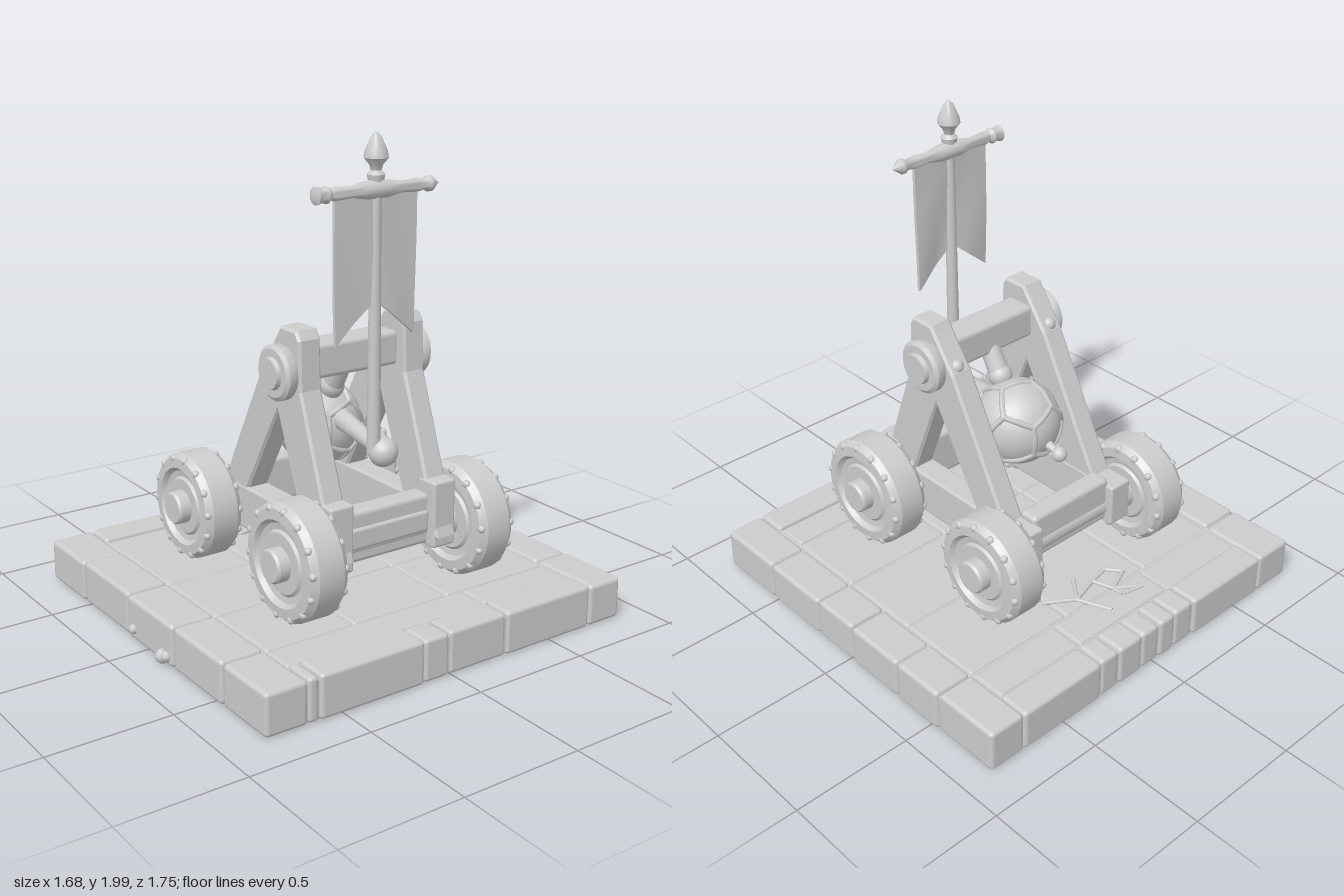
import * as THREE from 'three';
import { toCreasedNormals } from 'three/addons/utils/BufferGeometryUtils.js';
import { RoundedBoxGeometry } from 'three/addons/geometries/RoundedBoxGeometry.js';

export function createModel() {
  const root = new THREE.Group();
  root.name = 'siegeEngine';
  const grey = new THREE.MeshStandardMaterial({ color: 0xcccccc });
  grey.name = 'plainGrey';
  const V = (x, y, z) => new THREE.Vector3(x, y, z);

  const add = (name, geo, x = 0, y = 0, z = 0, parent = root) => {
    const m = new THREE.Mesh(geo, grey);
    m.name = name;
    m.position.set(x, y, z);
    parent.add(m);
    return m;
  };
  // rounded box given by its limits
  const block = (name, x0, x1, y0, y1, z0, z1, r = 0.012) => add(name,
    new RoundedBoxGeometry(x1 - x0, y1 - y0, z1 - z0, 2, r),
    (x0 + x1) / 2, (y0 + y1) / 2, (z0 + z1) / 2);
  // turned part from [radius, height] pairs
  const turned = (pts, seg = 32, crease = 0.6) => toCreasedNormals(
    new THREE.LatheGeometry(pts.map(p => new THREE.Vector2(...p)), seg), crease);
  // tapered rod between two points
  const rod = (name, a, b, ra, rb, parent = root) => {
    const m = add(name, new THREE.CylinderGeometry(rb, ra, a.distanceTo(b), 12), 0, 0, 0, parent);
    m.position.copy(a).lerp(b, 0.5);
    m.quaternion.setFromUnitVectors(V(0, 1, 0), b.clone().sub(a).normalize());
    return m;
  };
  let seed = 7;
  const rnd = () => (seed = (seed * 16807) % 2147483647) / 2147483647;

  // stone base: core, paving and border stones
  block('baseCore', -0.825, 0.825, 0.012, 0.17, -0.865, 0.815, 0.01);
  const runs = (cuts, fn) => cuts.slice(1).forEach((c, i) => fn(cuts[i] + 0.003, c - 0.003));
  const edge = () => rnd() * 0.008;
  runs([-0.84, -0.54, -0.3, -0.02, 0.2, 0.52, 0.84], (a, b) =>
    block('backStone', a, b, 0.01, 0.19 - edge(), -0.88 + edge(), -0.71, 0.018));
  runs([-0.84, -0.54, -0.16, 0.2, 0.55, 0.84], (a, b) =>
    block('frontStone', a, b, 0.01, 0.19 - edge(), 0.65, 0.835 - edge(), 0.018));
  runs([-0.71, -0.3, -0.2, -0.07, 0.03, 0.12, 0.23, 0.65], (a, b) =>
    block('rightSideStone', -0.84 + edge(), -0.7, 0.01, 0.19 - edge(), a, b, 0.018));
  runs([-0.71, -0.27, 0.01, 0.13, 0.6, 0.65], (a, b) =>
    block('leftSideStone', 0.7, 0.84 - edge(), 0.01, 0.19 - edge(), a, b, 0.016));
  runs([-0.7, -0.28, 0.22, 0.65], (a, b) =>
    block('rightPaving', -0.695, -0.545, 0.1, 0.18 - edge(), a, b));
  runs([-0.7, -0.27, 0.65], (a, b) =>
    block('leftPaving', 0.56, 0.695, 0.1, 0.18 - edge(), a, b));
  runs([-0.54, -0.16, 0.2, 0.555], (a, b) =>
    runs([-0.705, -0.2, 0.25, 0.645], (c, d) =>
      block('centrePaving', a, b, 0.1, 0.179 - edge() * 0.4, c, d)));

  // raised cracks on the paving
  const cracks = [
    [[-0.62, 0.16], [-0.55, 0.06], [-0.46, 0.03], [-0.5, -0.1], [-0.42, -0.22]],
    [[-0.64, -0.04], [-0.55, -0.08], [-0.5, -0.1], [-0.4, -0.02]],
    [[-0.55, 0.06], [-0.5, 0.17], [-0.44, 0.12], [-0.46, 0.03]],
    [[-0.62, 0.16], [-0.6, 0.06], [-0.55, 0.06]],
  ];
  cracks.forEach(c => c.slice(1).forEach((p, i) =>
    rod('crack', V(c[i][0], 0.18, c[i][1]), V(p[0], 0.18, p[1]), 0.009, 0.009)));
  // rubble on the front face
  [[-0.1, 0.06, 0.02], [0.13, 0.04, 0.03], [0.16, 0.05, 0.022]].forEach(([x, y, r]) =>
    add('rubble', new THREE.IcosahedronGeometry(r, 1), x, y, 0.838));

  // wheels with raised rims, studs and hubs
  const half = [[0.225, 0.055], [0.205, 0.082], [0.165, 0.085], [0.15, 0.066], [0.125, 0.062], [0.115, 0.072], [0, 0.072]];
  const wheelGeo = turned([...half.map(([r, h]) => [r, -h]).reverse(), ...half], 40).rotateX(Math.PI / 2);
  const hubGeo = turned([[0, -0.125], [0.06, -0.125], [0.068, -0.115], [0.068, 0.115], [0.06, 0.125], [0, 0.125]], 24)
    .rotateX(Math.PI / 2);
  const stud = new THREE.SphereGeometry(0.017, 8, 6);
  for (const s of [1, -1]) for (const [x, k] of [[-0.33, 0.985], [0.395, 1.04]]) {
    const w = new THREE.Group();
    w.name = 'wheel';
    w.position.set(x, 0.42, s * 0.4);
    root.add(w);
    add('wheelDisc', wheelGeo, 0, 0, 0, w).scale.set(k, k, 1);
    add('hub', hubGeo, 0, 0, 0, w);
    for (let i = 0; i < 14; i++) {
      const a = i / 14 * Math.PI * 2 + 0.1;
      for (const e of [1, -1])
        add('rimStud', stud, Math.cos(a) * 0.205 * k, Math.sin(a) * 0.205 * k, e * 0.072, w);
    }
  }
  for (const x of [-0.33, 0.395])
    rod('axle', V(x, 0.42, -0.35), V(x, 0.42, 0.35), 0.045, 0.045);

  // A-shaped side frames with their lower beams
  const frame = new THREE.Shape([
    [-0.345, 0.4], [0.02, 1.08], [0.12, 1.215], [0.14, 1.245], [0.235, 1.245], [0.255, 1.215],
    [0.262, 1.02], [0.395, 0.65], [0.48, 0.4], [0.325, 0.4], [0.115, 0.93], [-0.195, 0.4],
  ].map(p => new THREE.Vector2(...p)));
  const frameGeo = new THREE.ExtrudeGeometry(frame,
    { depth: 0.08, bevelSize: 0.01, bevelThickness: 0.01, bevelSegments: 1 });
  for (const s of [1, -1]) {
    add('sideFrame', frameGeo, 0, 0, s * 0.247 - 0.04);
    block('sideBeam', -0.4, 0.47, 0.345, 0.53, s * 0.247 - 0.054, s * 0.247 + 0.054);
    block('endPost', 0.37, 0.478, 0.345, 0.62, s * 0.247 - 0.054, s * 0.247 + 0.054);
    // pivot caps with bolts
    const cap = turned([[0, 0], [0.105, 0], [0.11, 0.008], [0.11, 0.04], [0.095, 0.052], [0.065, 0.052],
      [0.06, 0.07], [0, 0.07]]).rotateX(Math.PI / 2);
    const c = add('pivotCap', cap, 0.155, 1.08, s * 0.295);
    if (s < 0) c.rotation.y = Math.PI;
    add('pivotBolt', new THREE.SphereGeometry(0.03, 12, 8), 0.04, 1.1, s * 0.25);
  }

  // cross bars
  const bar = (name, x, y, w, h) => block(name, x - w / 2, x + w / 2, y - h / 2, y + h / 2, -0.21, 0.21, 0.02);
  bar('topBar', 0.155, 1.11, 0.13, 0.14);
  bar('rearBar', -0.32, 0.46, 0.09, 0.2);
  bar('frontBar', 0.39, 0.46, 0.09, 0.21);
  block('frontBarBand', 0.35, 0.445, 0.41, 0.5, -0.2, 0.2, 0.015);

  // strapped boulder hung from the top bar
  const ball = new THREE.Group();
  ball.name = 'boulder';
  ball.position.set(-0.04, 0.78, 0);
  ball.rotation.set(0.3, 0.2, 0.5);
  root.add(ball);
  add('boulderCore', new THREE.SphereGeometry(0.177, 32, 24), 0, 0, 0, ball);
  const e = new THREE.EdgesGeometry(new THREE.DodecahedronGeometry(0.177)).attributes.position;
  for (let i = 0; i < e.count; i += 2) {
    const a = V(0, 0, 0).fromBufferAttribute(e, i), b = V(0, 0, 0).fromBufferAttribute(e, i + 1);
    const mid = a.clone().add(b).setLength(0.178);
    add('strap', new THREE.TubeGeometry(new THREE.CatmullRomCurve3([a, mid, b]), 6, 0.012, 6), 0, 0, 0, ball);
  }
  rod('hanger', V(0.02, 0.88, 0), V(0.15, 1.1, 0), 0.045, 0.04);
  add('hangerKnuckle', new THREE.SphereGeometry(0.05, 16, 12), 0.06, 0.95, 0);
  rod('rearPeg', V(-0.17, 0.75, 0.01), V(-0.25, 0.72, 0.02), 0.022, 0.016);
  add('rearKnob', new THREE.SphereGeometry(0.032, 16, 12), -0.265, 0.715, 0.02);
  rod('lowerPeg', V(0, 0.65, 0.02), V(0.01, 0.575, 0.02), 0.03, 0.022);
  rod('arm', V(0.08, 0.83, -0.01), V(0.45, 0.79, 0.04), 0.045, 0.027);
  add('armKnob', new THREE.SphereGeometry(0.058, 20, 14), 0.45, 0.79, 0.04);

  // banner pole with spear tip
  const px = 0.435, pz = 0.075;
  rod('pole', V(px, 0.79, pz), V(px, 1.86, pz), 0.027, 0.02);
  add('spearTip', turned([[0, 1.82], [0.03, 1.825], [0.034, 1.845], [0.02, 1.86], [0.026, 1.88],
    [0.046, 1.905], [0.042, 1.93], [0.02, 1.98], [0, 2.0]], 16, 0.8), px, 0, pz);
  // turned banner rail with a pointed end
  add('bannerRail', turned([[0, -0.215], [0.03, -0.175], [0.03, -0.16], [0.02, -0.15], [0.026, -0.11],
    [0.022, -0.04], [0.034, 0.03], [0.034, 0.12], [0.022, 0.18], [0.026, 0.26], [0.02, 0.28],
    [0.033, 0.295], [0.026, 0.315], [0.034, 0.34], [0, 0.355]], 16, 1).rotateX(Math.PI / 2), px, 1.79, 0);

  // swallow-tailed cloth, gently waved
  const cloth = new THREE.BoxGeometry(0.014, 1, 0.37, 1, 12, 16);
  const p = cloth.attributes.position;
  for (let i = 0; i < p.count; i++) {
    const t = 0.5 - p.getY(i), z = p.getZ(i);
    const bottom = 1.38 - 0.15 * Math.abs(z) / 0.185;
    p.setY(i, 1.785 + (bottom - 1.785) * t);
    p.setX(i, p.getX(i) + Math.sin(z * 22 + t * 3) * 0.008 * t);
  }
  cloth.computeVertexNormals();
  add('banner', cloth, px, 0, pz);

  return root;
}
